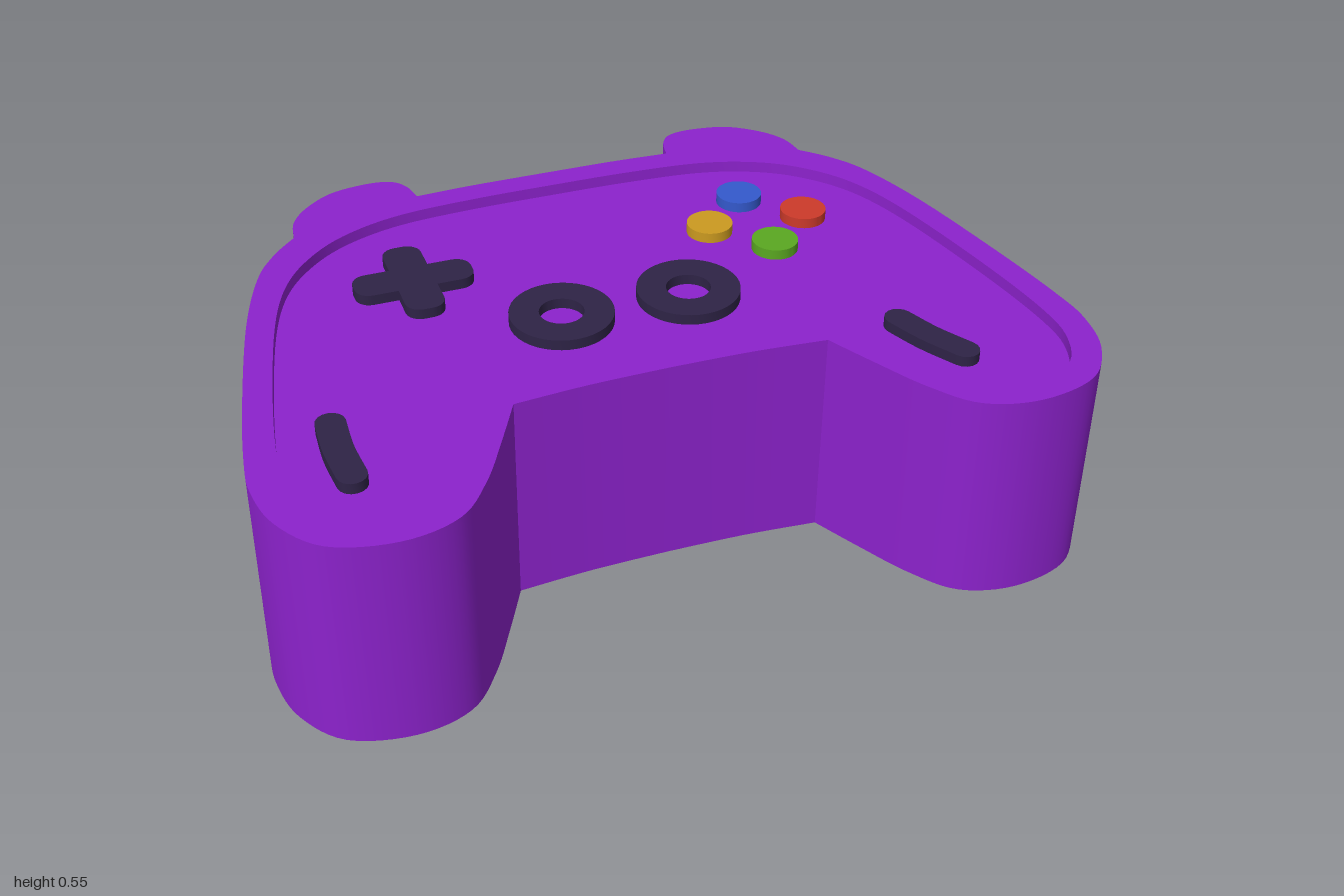
import * as THREE from 'three';
import { toCreasedNormals } from 'three/addons/utils/BufferGeometryUtils.js';

const HEIGHT = 0.55, RECESS = 0.03, RAISE = 0.027;

function material(name, color, side = THREE.FrontSide) {
  const m = new THREE.MeshStandardMaterial({ color, side });
  m.name = name;
  return m;
}

// Smooth runs [x, z] joined at sharp corners, mirrored into a closed loop
function mirroredLoop(runs) {
  const half = [];
  for (const run of runs) {
    const curve = new THREE.SplineCurve(run.map(([x, z]) => new THREE.Vector2(x, z)));
    const pts = curve.getPoints((run.length - 1) * 6);
    half.push(...(half.length ? pts.slice(1) : pts));
  }
  const other = half.slice(1, -1).reverse().map(p => new THREE.Vector2(-p.x, p.y));
  return [...half, ...other];
}

// Flat face at height y, facing up or down
function cap(points, y, up, hole) {
  const map = list => list.map(p => new THREE.Vector2(p.x, up ? -p.y : p.y));
  const shape = new THREE.Shape(map(points));
  if (hole) shape.holes.push(new THREE.Path(map(hole)));
  return new THREE.ShapeGeometry(shape).rotateX(up ? -Math.PI / 2 : Math.PI / 2).translate(0, y, 0);
}

// Upright wall around a loop; y0 above y1 turns it inward
function wall(points, y0, y1) {
  const pos = [];
  points.forEach((a, i) => {
    const b = points[(i + 1) % points.length];
    pos.push(a.x, y0, a.y, a.x, y1, a.y, b.x, y1, b.y);
    pos.push(a.x, y0, a.y, b.x, y1, b.y, b.x, y0, b.y);
  });
  const g = new THREE.BufferGeometry();
  g.setAttribute('position', new THREE.Float32BufferAttribute(pos, 3));
  g.computeVertexNormals();
  return toCreasedNormals(g, 0.5);
}

function circle(x, z, r, n = 40) {
  return Array.from({ length: n }, (_, i) => {
    const a = (i / n) * Math.PI * 2;
    return new THREE.Vector2(x + r * Math.cos(a), z + r * Math.sin(a));
  });
}

// Cross with rounded arm ends
function cross(cx, cz, reach, w, r) {
  const pts = [];
  for (let k = 0; k < 4; k++) {
    const arm = [[w, -w]];
    for (const s of [-1, 1]) {
      for (let i = 0; i <= 6; i++) {
        const a = (s < 0 ? -Math.PI / 2 : 0) + (i / 6) * Math.PI / 2;
        arm.push([reach - r + r * Math.cos(a), s * (w - r) + r * Math.sin(a)]);
      }
    }
    const c = Math.cos(k * Math.PI / 2), s = Math.sin(k * Math.PI / 2);
    for (const [x, z] of arm) pts.push(new THREE.Vector2(cx + c * x - s * z, cz + s * x + c * z));
  }
  return pts;
}

// Round-ended strip following a curve
function strip(path, r) {
  const curve = new THREE.SplineCurve(path.map(([x, z]) => new THREE.Vector2(x, z)));
  const pts = [];
  const add = (t, turn) => {
    const p = curve.getPoint(t), d = curve.getTangent(t);
    const a = Math.atan2(d.y, d.x) + turn;
    pts.push(new THREE.Vector2(p.x + r * Math.cos(a), p.y + r * Math.sin(a)));
  };
  for (let i = 0; i <= 10; i++) add(i / 10, -Math.PI / 2);
  for (let i = 1; i < 8; i++) add(1, -Math.PI / 2 + (i / 8) * Math.PI);
  for (let i = 10; i >= 0; i--) add(i / 10, Math.PI / 2);
  for (let i = 1; i < 8; i++) add(0, Math.PI / 2 + (i / 8) * Math.PI);
  return pts;
}

export function createModel() {
  const root = new THREE.Group();
  root.name = 'gameController';
  const purple = material('purple', 0x8c22cc);
  const dark = material('darkViolet', 0x2e2346);
  const blue = material('blue', 0x3459cc);
  const red = material('red', 0xcc3a2a);
  const yellow = material('yellow', 0xcb9a20);
  const green = material('green', 0x5aa821);

  const add = (parent, name, geometry, mat) => {
    const mesh = new THREE.Mesh(geometry, mat);
    mesh.name = name;
    parent.add(mesh);
  };

  // Outer outline: back edge, shoulder bump, side and grip, front notch
  const outline = mirroredLoop([
    [[0, -0.64], [0.2, -0.639], [0.35, -0.632]],
    [[0.35, -0.632], [0.363, -0.69], [0.395, -0.729], [0.46, -0.74], [0.56, -0.722],
      [0.64, -0.665], [0.685, -0.6], [0.698, -0.53]],
    [[0.698, -0.53], [0.765, -0.46], [0.825, -0.36], [0.89, -0.16], [0.957, 0.15], [0.993, 0.36],
      [1, 0.47], [0.973, 0.59], [0.89, 0.695], [0.74, 0.732], [0.605, 0.698], [0.52, 0.6],
      [0.45, 0.475], [0.385, 0.35]],
    [[0.385, 0.35], [0.2, 0.336], [0, 0.332]],
  ]);
  // Edge of the recessed panel
  const inner = mirroredLoop([
    [[0, -0.57], [0.2, -0.568], [0.41, -0.552], [0.56, -0.505], [0.67, -0.43], [0.76, -0.315],
      [0.825, -0.14], [0.89, 0.16], [0.925, 0.4], [0.918, 0.53], [0.86, 0.63], [0.735, 0.663],
      [0.64, 0.638], [0.565, 0.555], [0.5, 0.43], [0.43, 0.285]],
    [[0.43, 0.285], [0.2, 0.269], [0, 0.265]],
  ]);

  // Shell
  const shell = new THREE.Group();
  shell.name = 'shell';
  root.add(shell);
  add(shell, 'outerWall', wall(outline, 0, HEIGHT), purple);

  // Controls on each face
  const controls = [
    ['directionPad', cross(-0.46, -0.25, 0.15, 0.049, 0.038), dark],
    ['leftStickRing', circle(-0.163, 0.018, 0.128), dark, circle(-0.163, 0.018, 0.055)],
    ['rightStickRing', circle(0.163, 0.018, 0.128), dark, circle(0.163, 0.018, 0.055)],
    ['rightGripStrip', strip([[-0.785, 0.275], [-0.79, 0.375], [-0.783, 0.475]], 0.035), dark],
    ['leftGripStrip', strip([[0.588, 0.312], [0.624, 0.4], [0.673, 0.487]], 0.035), dark],
    ['blueButton', circle(0.457, -0.373, 0.059), blue],
    ['redButton', circle(0.583, -0.241, 0.059), red],
    ['yellowButton', circle(0.327, -0.254, 0.059), yellow],
    ['greenButton', circle(0.453, -0.122, 0.059), green],
  ];

  for (const up of [true, false]) {
    const side = up ? 'top' : 'bottom';
    const edge = up ? HEIGHT : 0;
    const floor = up ? HEIGHT - RECESS : RECESS;
    const crown = up ? floor + RAISE : floor - RAISE;
    const low = Math.min(floor, crown), high = Math.max(floor, crown);

    add(shell, side + 'Rim', cap(outline, edge, up, inner), purple);
    add(shell, side + 'RecessWall', wall(inner, Math.max(edge, floor), Math.min(edge, floor)), purple);
    add(shell, side + 'Panel', cap(inner, floor, up), purple);

    const face = new THREE.Group();
    face.name = side + 'Controls';
    root.add(face);
    for (const [name, points, mat, hole] of controls) {
      const part = new THREE.Group();
      part.name = name;
      face.add(part);
      add(part, name + 'Face', cap(points, crown, up, hole), mat);
      add(part, name + 'Side', wall(points, low, high), mat);
      if (hole) add(part, name + 'Bore', wall(hole, high, low), mat);
    }
  }
  return root;
}
